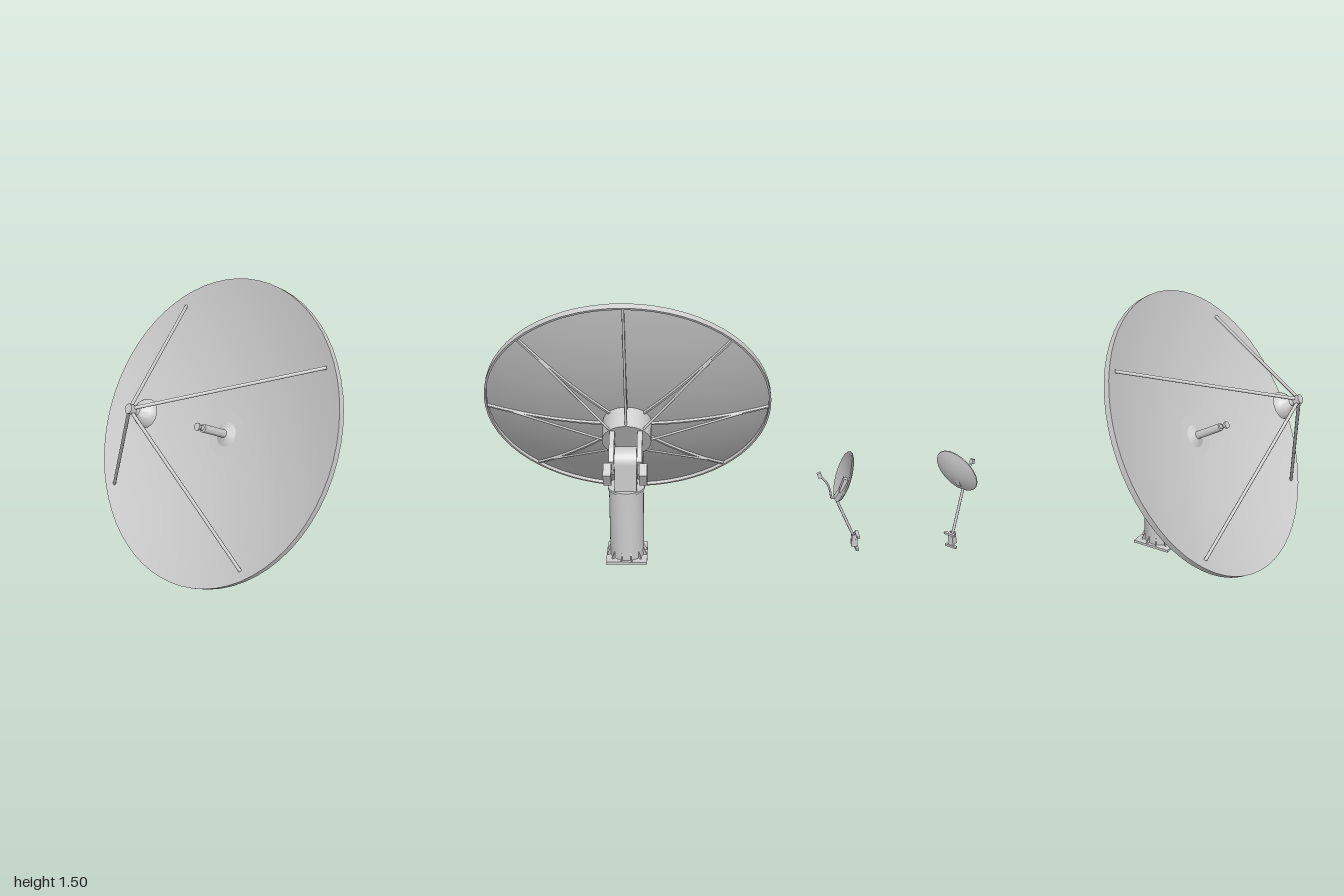
import * as THREE from 'three';
import { toCreasedNormals } from 'three/addons/utils/BufferGeometryUtils.js';

const grey = new THREE.MeshStandardMaterial({ color: 0xcccccc });
grey.name = 'light grey';
const V = (x, y, z) => new THREE.Vector3(x, y, z);

function add(parent, name, geo, x = 0, y = 0, z = 0) {
  const m = new THREE.Mesh(geo, grey);
  m.name = name;
  m.position.set(x, y, z);
  parent.add(m);
  return m;
}

// Round bar between two points
function bar(parent, name, a, b, r) {
  const d = b.clone().sub(a);
  const m = add(parent, name, new THREE.CylinderGeometry(r, r, d.length(), 8));
  m.position.copy(a).addScaledVector(d, 0.5);
  m.quaternion.setFromUnitVectors(V(0, 1, 0), d.normalize());
  return m;
}

// Turned part from [radius, height] pairs, hard edges kept sharp
function turned(pairs, segments, crease = 0.6) {
  const pts = pairs.map(p => new THREE.Vector2(p[0], p[1]));
  return toCreasedNormals(new THREE.LatheGeometry(pts, segments), crease);
}

// Closed profile of a parabolic bowl: back skin, rim edge, front skin
function bowl(radius, vertex, rim, skin, lip, steps, segments) {
  const at = r => vertex + (rim - vertex) * (r / radius) ** 2;
  const back = [], front = [];
  for (let i = 0; i <= steps; i++) {
    const r = (radius - lip) * i / steps;
    back.push([r, at(r) - skin]);
    front.unshift([r, at(r)]);
  }
  const edge = lip > 0.005 ? [[radius - lip, rim - 0.034], [radius, rim - 0.034], [radius, rim]] : [[radius, rim]];
  return turned([...back, ...edge, ...front], segments);
}

function plate(points, depth) {
  const shape = new THREE.Shape(points.map(p => new THREE.Vector2(p[0], p[1])));
  return new THREE.ExtrudeGeometry(shape, { depth, bevelEnabled: false });
}

const CZ = 0.183; // centre plane of the large antenna
const R = 0.811;

// Large reflector, local y is the pointing axis
function mainDish() {
  const g = new THREE.Group();
  g.name = 'mainDish';
  g.position.set(-0.245, 0.785, CZ);
  g.rotation.z = Math.PI / 3;
  const vertex = -0.115, rim = 0.017;
  const surface = r => vertex + (rim - vertex) * (r / R) ** 2;
  add(g, 'reflector', bowl(R, vertex, rim, 0.008, 0.012, 20, 64));

  // Hub drum behind the reflector
  add(g, 'hubDrum', new THREE.CylinderGeometry(0.137, 0.137, 0.14, 32), 0, -0.182, 0);

  // Eight radial ribs with straight braces to the back of the drum
  for (let i = 0; i < 8; i++) {
    const arm = new THREE.Group();
    arm.name = 'backRib';
    arm.rotation.y = i * Math.PI / 4;
    const geo = new THREE.BoxGeometry(0.67, 0.018, 0.012, 14, 1, 1);
    geo.translate(0.465, 0, 0);
    const p = geo.attributes.position;
    for (let k = 0; k < p.count; k++) p.setY(k, p.getY(k) + surface(p.getX(k)) - 0.015);
    geo.computeVertexNormals();
    add(arm, 'rib', toCreasedNormals(geo, 0.5));
    bar(arm, 'brace', V(0.13, -0.24, 0), V(0.765, -0.008, 0), 0.007);
    g.add(arm);
  }

  // Feed horn in the middle
  add(g, 'feedCone', new THREE.CylinderGeometry(0.022, 0.076, 0.025, 16), 0, -0.104, 0);
  add(g, 'feedHorn', turned([[0, -0.11], [0.022, -0.11], [0.022, 0.07], [0.013, 0.072],
    [0.011, 0.09], [0.02, 0.105], [0.02, 0.115], [0, 0.115]], 20));

  // Sub-reflector on four legs
  add(g, 'subReflector', turned([[0, 0.485], [0.035, 0.482], [0.072, 0.472], [0.069, 0.484],
    [0.058, 0.503], [0.04, 0.52], [0.02, 0.535], [0.014, 0.555], [0.024, 0.557],
    [0.024, 0.592], [0, 0.592]], 28));
  for (let i = 0; i < 4; i++) {
    const t = Math.PI / 4 + i * Math.PI / 2, c = Math.cos(t), s = Math.sin(t);
    bar(g, 'subReflectorLeg', V(0.757 * c, 0.002, 0.757 * s), V(0.014 * c, 0.573, 0.014 * s), 0.009);
  }
  return g;
}

function pedestal() {
  const g = new THREE.Group();
  g.name = 'pedestal';
  g.position.set(0.075, 0, CZ);
  add(g, 'basePlate', new THREE.BoxGeometry(0.23, 0.015, 0.23), 0, 0.0075, 0);
  add(g, 'column', turned([[0, 0.014], [0.096, 0.014], [0.096, 0.424], [0.102, 0.424],
    [0.102, 0.437], [0, 0.437]], 32));
  // Gussets round the foot
  const gusset = plate([[0.09, 0.014], [0.116, 0.014], [0.113, 0.024], [0.098, 0.056], [0.09, 0.056]], 0.006);
  gusset.translate(0, 0, -0.003);
  for (let i = 0; i < 12; i++) {
    add(g, 'gusset', gusset).rotation.y = (i + 0.5) * Math.PI / 6;
  }
  // Round-topped neck
  add(g, 'neck', new THREE.BoxGeometry(0.15, 0.16, 0.12), 0, 0.515, 0);
  add(g, 'neckTop', new THREE.CylinderGeometry(0.075, 0.075, 0.12, 32), 0, 0.592, 0).rotation.x = Math.PI / 2;
  return g;
}

// Tilting yoke with notched side plates and counterweights
function yoke() {
  const g = new THREE.Group();
  g.name = 'yoke';
  g.position.z = CZ;
  const cheek = plate([[0.015, 0.745], [0.12, 0.685], [0.157, 0.62], [0.12, 0.525], [0.02, 0.535],
    [-0.075, 0.605], [-0.045, 0.642], [-0.015, 0.63], [0.012, 0.682], [-0.005, 0.705]], 0.028);
  cheek.translate(0, 0, -0.014);
  for (const s of [-1, 1]) {
    add(g, 'sidePlate', cheek, 0, 0, s * 0.076);
    add(g, 'pivot', new THREE.CylinderGeometry(0.035, 0.035, 0.05, 24), 0.06, 0.605, s * 0.07).rotation.x = Math.PI / 2;
    add(g, 'counterweight', new THREE.BoxGeometry(0.083, 0.092, 0.043), 0.167, 0.55, s * 0.097).rotation.z = -Math.PI / 6;
  }
  return g;
}

// Small wall-mounted dish
function smallDish() {
  const g = new THREE.Group();
  g.name = 'smallDish';
  g.position.x = 0.626;
  const dish = add(g, 'smallReflector', bowl(0.127, -0.022, 0.003, 0.004, 0.001, 6, 20), 0, 0.771, -0.9);
  dish.rotation.x = 1.295;
  const bracket = add(g, 'dishBracket', new THREE.BoxGeometry(0.03, 0.075, 0.018), 0, 0.725, -0.9);
  bracket.rotation.x = -0.28;
  bar(g, 'mastTop', V(0, 0.745, -0.912), V(0, 0.665, -0.866), 0.007);
  bar(g, 'mast', V(0, 0.668, -0.863), V(0, 0.435, -0.978), 0.007);
  // Curved feed arm with receiver
  const path = new THREE.CatmullRomCurve3([V(0, 0.672, -0.866), V(0, 0.65, -0.852),
    V(0, 0.7, -0.838), V(0, 0.74, -0.818), V(0, 0.768, -0.792)]);
  add(g, 'feedArm', new THREE.TubeGeometry(path, 20, 0.005, 8));
  add(g, 'receiver', new THREE.BoxGeometry(0.018, 0.026, 0.02), 0, 0.777, -0.783).rotation.x = 0.4;
  // Wall mount
  for (const y of [0.381, 0.45]) add(g, 'mountBar', new THREE.BoxGeometry(0.07, 0.011, 0.014), 0, y, -0.993);
  add(g, 'mountPlate', new THREE.BoxGeometry(0.03, 0.08, 0.01), 0, 0.415, -0.989);
  for (const s of [-1, 1]) add(g, 'mountCheek', new THREE.BoxGeometry(0.005, 0.065, 0.024), s * 0.012, 0.422, -0.977);
  return g;
}

export function createModel() {
  const model = new THREE.Group();
  model.name = 'satelliteDishes';
  model.add(mainDish(), pedestal(), yoke(), smallDish());
  return model;
}
